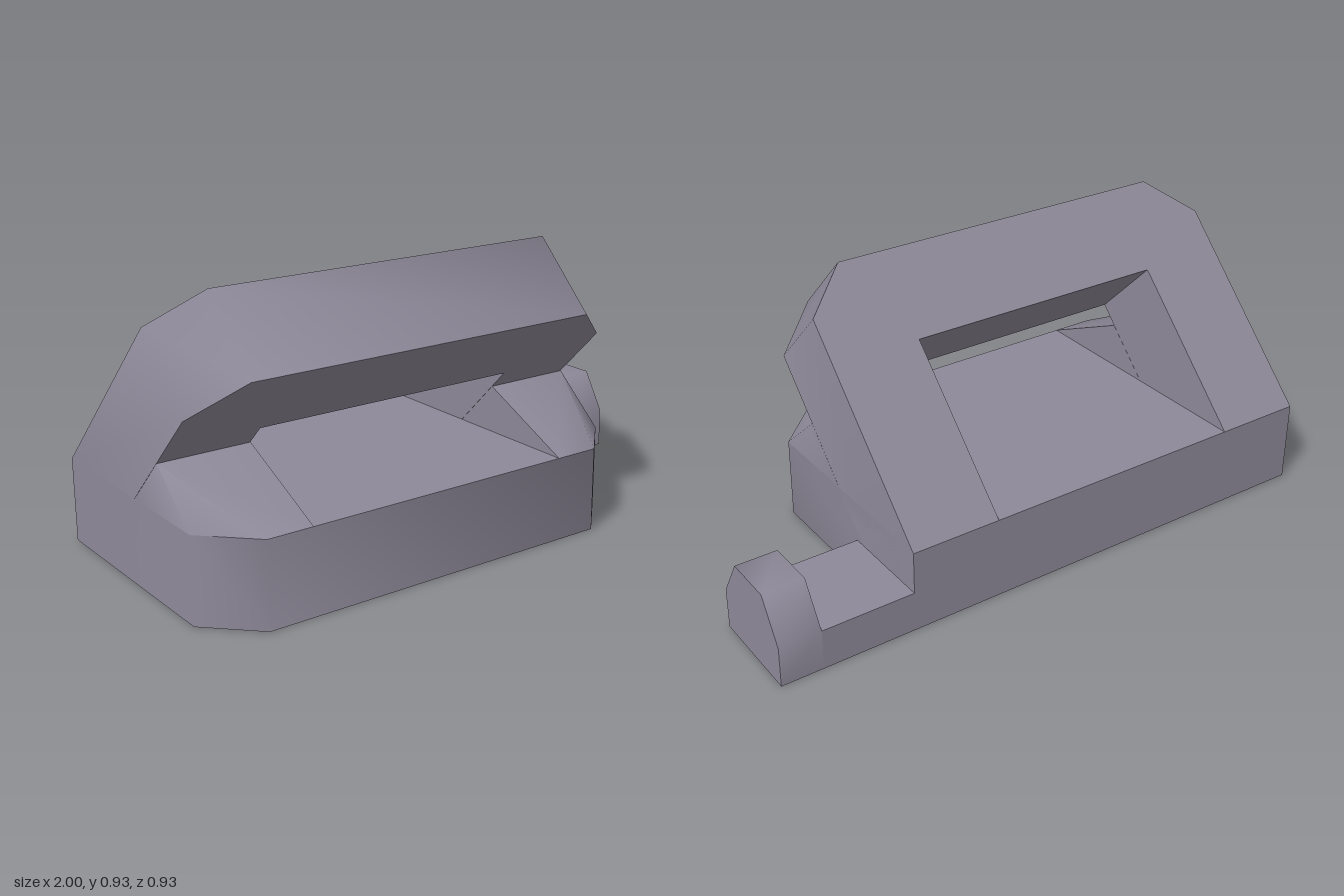
import * as THREE from 'three';
import { toCreasedNormals } from 'three/addons/utils/BufferGeometryUtils.js';
import { ConvexGeometry } from 'three/addons/geometries/ConvexGeometry.js';

const LEFT = 0.545, RIGHT = -1;          // ends of the main body
const SLOT_L = 0.237, SLOT_R = -0.692;   // ends of the window
const DEPTH = 0.465, BASE_H = 0.28, CUT = 0.155;
const CREASE = 1.1;                      // softens chamfers, keeps right angles sharp

export function createModel() {
  const model = new THREE.Group();
  const grey = new THREE.MeshStandardMaterial({ color: 0x8e8999 });
  grey.name = 'violet grey';

  const add = (name, geometry) => {
    const mesh = new THREE.Mesh(toCreasedNormals(geometry, CREASE), grey);
    mesh.name = name;
    model.add(mesh);
    return mesh;
  };
  const extrude = (points, depth) => new THREE.ExtrudeGeometry(
    new THREE.Shape(points.map(([x, y]) => new THREE.Vector2(x, y))),
    { depth, bevelEnabled: false });

  // Base slab with chamfered front corners
  const base = extrude([
    [RIGHT, -DEPTH], [LEFT, -DEPTH], [LEFT, DEPTH - CUT], [LEFT - CUT, DEPTH],
    [RIGHT + CUT, DEPTH], [RIGHT, DEPTH - CUT],
  ], BASE_H);
  base.rotateX(Math.PI / 2);
  base.translate(0, BASE_H, 0);
  add('base', base);

  // Leaning plate, a thick arch whose window opens onto the base
  const top = 0.926, slotTop = 0.615;
  const plate = extrude([
    [RIGHT, 0], [SLOT_R, 0], [SLOT_R, slotTop], [SLOT_L, slotTop], [SLOT_L, 0], [LEFT, 0],
    [LEFT, top - CUT], [LEFT - CUT, top], [RIGHT + CUT, top], [RIGHT, top - CUT],
  ], 0.309);
  plate.rotateX(Math.PI / 4);
  plate.translate(0, BASE_H, -DEPTH);
  add('leaningPlate', plate);

  // Gussets between the base and the plate on both sides of the window
  const gusset = (name, inner, outer) => {
    const cutX = outer - Math.sign(outer - inner) * CUT;
    add(name, new ConvexGeometry([
      [inner, BASE_H, DEPTH], [cutX, BASE_H, DEPTH], [outer, BASE_H, DEPTH - CUT],
      [inner, 0.437, 0.13], [outer, 0.437, 0.13],
      [inner, BASE_H, -0.027], [outer, BASE_H, -0.027],
    ].map((p) => new THREE.Vector3(...p))));
  };
  gusset('leftGusset', SLOT_L, LEFT);
  gusset('rightGusset', SLOT_R, RIGHT);

  // Side arm
  const arm = new THREE.BoxGeometry(0.86 - LEFT, 0.137, 0.335);
  arm.translate((0.86 + LEFT) / 2, 0.0685, -0.2975);
  add('sideArm', arm);

  // Raised stop at the end of the arm
  const stop = extrude([
    [0.13, 0], [0.465, 0], [0.465, 0.137], [0.38, 0.273], [0.212, 0.273], [0.13, 0.137],
  ], 0.14);
  stop.rotateY(Math.PI / 2);
  stop.translate(0.86, 0, 0);
  add('armStop', stop);

  return model;
}
